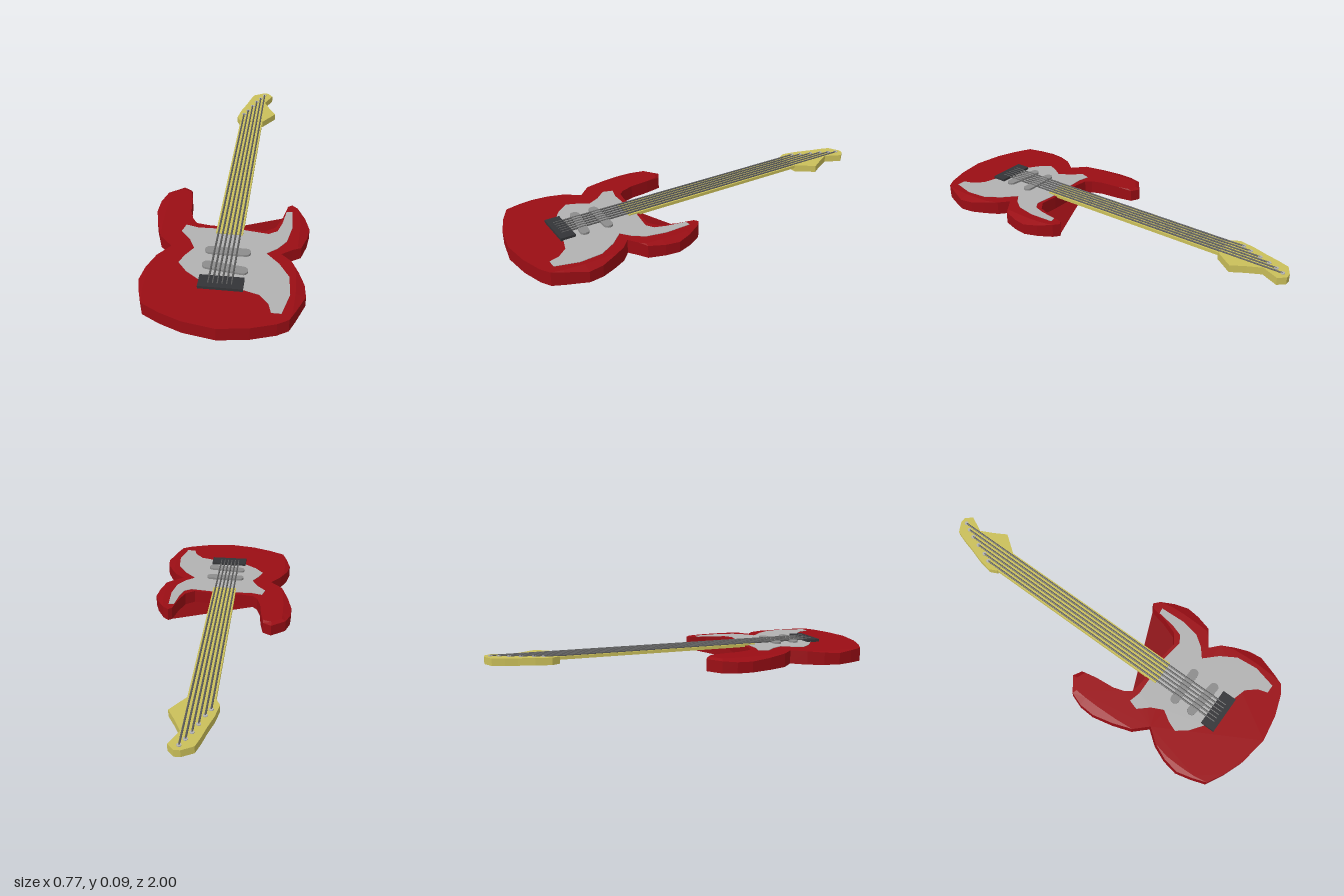
import * as THREE from 'three';

const mat = (color) => new THREE.MeshStandardMaterial({ color, flatShading: true, side: THREE.DoubleSide });
const RED = mat(0x9a0d14), DARK_RED = mat(0x8a0c12), WOOD = mat(0xcabf5a), GUARD = mat(0xb2b2b2),
  METAL = mat(0x8c8c8c), STRING = mat(0x5c5c5c), BLACK = mat(0x333437);

// Plan outlines are [x, z] pairs
const HORN_GAP = [[-0.1, 0.34], [0.08, 0.345], [0.17, 0.355], [0.22, 0.32], [0.25, 0.24]];
const RIM = [
  [0.27, 0.15], [0.29, 0.135], [0.32, 0.16], [0.36, 0.23], [0.384, 0.3], [0.375, 0.37], [0.35, 0.45],
  [0.31, 0.475], [0.26, 0.51], [0.31, 0.555], [0.345, 0.62], [0.375, 0.69], [0.384, 0.76], [0.345, 0.86],
  [0.32, 0.915], [0.27, 0.945], [0.16, 0.98], [0.02, 1.0], [-0.13, 0.975], [-0.235, 0.935], [-0.32, 0.89],
  [-0.345, 0.82], [-0.365, 0.74], [-0.35, 0.66], [-0.315, 0.58], [-0.26, 0.51], [-0.325, 0.445],
  [-0.36, 0.345], [-0.384, 0.24], [-0.38, 0.16], [-0.355, 0.09], [-0.28, 0.035], [-0.235, 0.06],
  [-0.22, 0.14], [-0.21, 0.24], [-0.19, 0.3], [-0.165, 0.33],
];
const GUARD_OUTLINE = [
  [-0.215, 0.35], [-0.155, 0.365], [0.07, 0.36], [0.19, 0.375], [0.23, 0.35], [0.25, 0.29], [0.265, 0.195],
  [0.295, 0.19], [0.3, 0.32], [0.28, 0.42], [0.24, 0.475], [0.19, 0.515], [0.255, 0.58], [0.305, 0.66],
  [0.315, 0.77], [0.285, 0.885], [0.24, 0.885], [0.225, 0.835], [0.18, 0.785], [0.11, 0.765], [-0.09, 0.725],
  [-0.16, 0.675], [-0.205, 0.62], [-0.185, 0.57], [-0.15, 0.515], [-0.18, 0.455], [-0.23, 0.4],
];
const HEAD_OUTLINE = [
  [-0.065, -0.65], [-0.085, -0.69], [-0.07, -0.77], [-0.045, -0.85], [-0.03, -0.91], [-0.01, -0.97],
  [0.045, -1], [0.075, -1], [0.105, -0.965], [0.065, -0.88], [0.1, -0.81], [0.138, -0.745], [0.07, -0.65],
];

function add(group, name, geometry, material) {
  const mesh = new THREE.Mesh(geometry, material);
  mesh.name = name;
  group.add(mesh);
  return mesh;
}

// Flat slab: plan outline raised from y0 to y1
function slab(points, y0, y1) {
  const shape = new THREE.Shape(points.map(([x, z]) => new THREE.Vector2(x, -z)));
  const geo = new THREE.ExtrudeGeometry(shape, { depth: y1 - y0, bevelEnabled: false });
  return geo.rotateX(-Math.PI / 2).translate(0, y0, 0);
}

// Flat sheet at a height, facing up or down
function sheet(points, y, down = false) {
  const shape = new THREE.Shape(points.map(([x, z]) => new THREE.Vector2(x, -z)));
  const geo = new THREE.ShapeGeometry(shape).rotateX(-Math.PI / 2).translate(0, y, 0);
  if (down) geo.index.array.reverse();
  geo.computeVertexNormals();
  return geo;
}

// Body wall: bottom ring, shoulder ring and a top ring drawn in at the widest points
function bodyWall(outline, top) {
  const positions = [], index = [], n = outline.length;
  outline.forEach(([x, z], i) => {
    const out = THREE.MathUtils.clamp((Math.abs(x) - 0.33) / 0.054, 0, 1);
    const shoulder = 0.07 - 0.015 * Math.max(out, z < 0.12 ? 0.6 : 0);
    positions.push(x, 0, z, x, shoulder, z, top[i][0], 0.07, top[i][1]);
    const a = i * 3, b = ((i + 1) % n) * 3;
    for (const k of [0, 1]) index.push(a + k, a + k + 1, b + k, b + k, a + k + 1, b + k + 1);
  });
  const geo = new THREE.BufferGeometry();
  geo.setAttribute('position', new THREE.Float32BufferAttribute(positions, 3));
  geo.setIndex(index);
  geo.computeVertexNormals();
  return geo;
}

function pickup(width, depth) {
  const r = depth / 2, half = width / 2 - r;
  const shape = new THREE.Shape();
  shape.absarc(half, 0, r, -Math.PI / 2, Math.PI / 2);
  shape.absarc(-half, 0, r, Math.PI / 2, Math.PI * 1.5);
  return new THREE.ExtrudeGeometry(shape, { depth: 0.013, bevelEnabled: false, curveSegments: 4 })
    .rotateX(-Math.PI / 2);
}

export function createModel() {
  const guitar = new THREE.Group();
  guitar.name = 'electricGuitar';

  // Body: wall, top with the cutaway, and a back that spans the cutaway
  const body = new THREE.Group();
  body.name = 'body';
  guitar.add(body);
  const outline = [...HORN_GAP, ...RIM];
  const top = outline.map(([x, z]) => [
    Math.abs(x) > 0.33 ? Math.sign(x) * (0.33 + 0.15 * (Math.abs(x) - 0.33)) : x,
    z < 0.12 ? z + 0.3 * (0.12 - z) : z,
  ]);
  add(body, 'bodySide', bodyWall(outline, top), RED);
  add(body, 'bodyTop', sheet(top, 0.07), RED);
  add(body, 'bodyBack', sheet(RIM, 0, true), DARK_RED);

  add(guitar, 'pickguard', slab(GUARD_OUTLINE, 0.069, 0.0725), GUARD);

  // Neck and headstock
  const neck = new THREE.BoxGeometry(0.131, 0.016, 1.05).translate(0.0025, 0.07, -0.125);
  add(guitar, 'neck', neck, WOOD);
  add(guitar, 'headstock', slab(HEAD_OUTLINE, 0.043, 0.08), WOOD);

  // Pickups, the rear one slanted
  add(guitar, 'frontPickup', pickup(0.215, 0.046), METAL).position.set(0.012, 0.07, 0.528);
  const rear = add(guitar, 'rearPickup', pickup(0.215, 0.046), METAL);
  rear.position.set(0.012, 0.07, 0.64);
  rear.rotation.y = -0.13;

  add(guitar, 'bridge', new THREE.BoxGeometry(0.203, 0.016, 0.075).translate(0.007, 0.0765, 0.738), BLACK);

  // Strings with a tuning post at each far end
  [-0.725, -0.77, -0.83, -0.885, -0.93, -0.97].forEach((end, i) => {
    const x = -0.05 + i * 0.021, length = 0.75 - end;
    const wire = new THREE.CylinderGeometry(0.005, 0.005, length, 6).rotateX(Math.PI / 2);
    add(guitar, 'string' + (i + 1), wire, STRING).position.set(x, 0.081, end + length / 2);
    const post = new THREE.CylinderGeometry(0.011, 0.011, 0.006, 8);
    add(guitar, 'tuningPost' + (i + 1), post, GUARD).position.set(x, 0.081, end);
  });
  return guitar;
}
